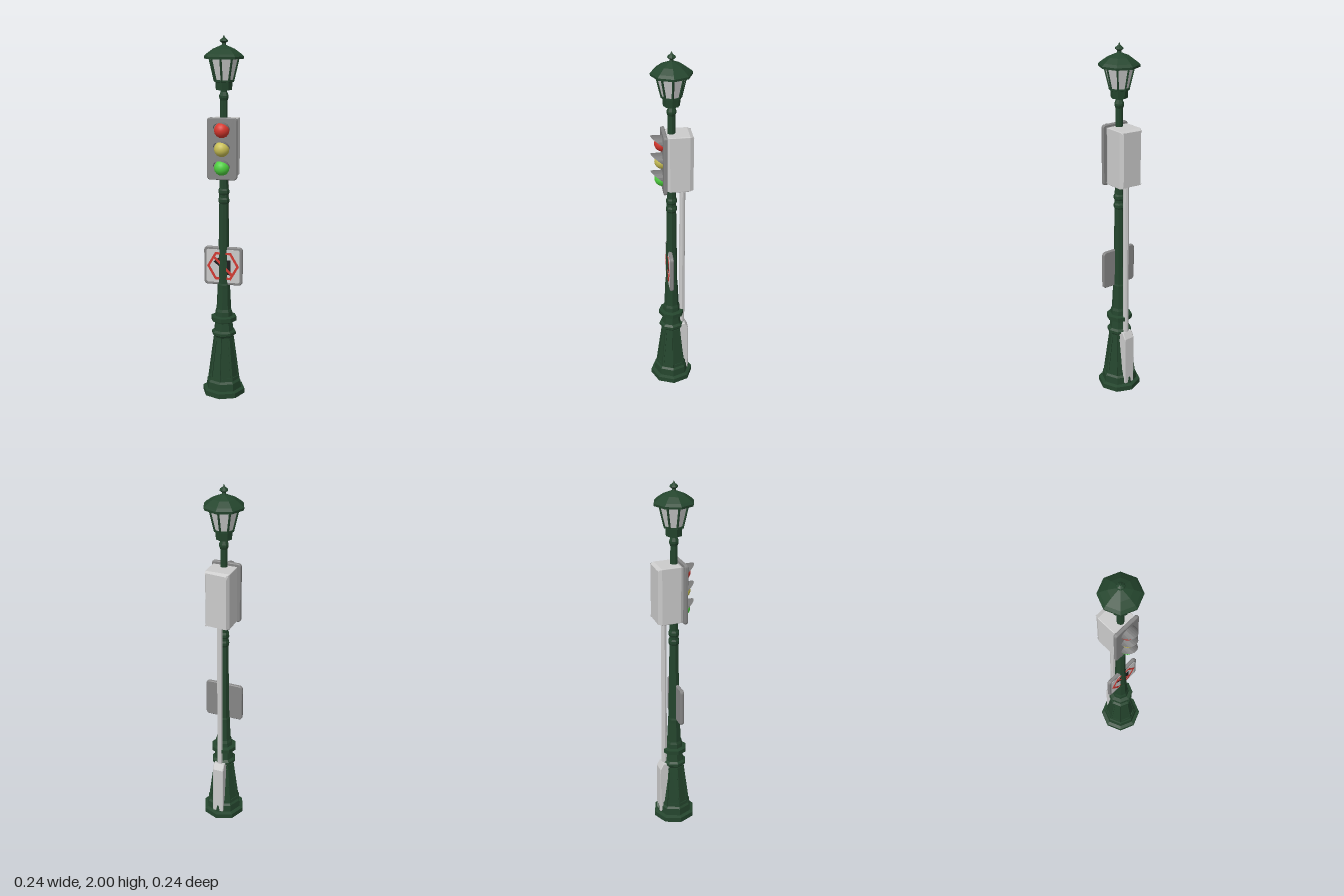
import * as THREE from 'three';

const mat = (color, opts = {}) => new THREE.MeshStandardMaterial({ color, flatShading: true, ...opts });
const green = mat(0x24452d);
const grey = mat(0xcccccc);
const darkGrey = mat(0x868686);
const visorGrey = mat(0x777777, { side: THREE.DoubleSide });
const red = mat(0xd23a32);
const black = mat(0x1c1c1c);

function add(parent, name, geometry, material, x = 0, y = 0, z = 0) {
  const mesh = new THREE.Mesh(geometry, material);
  mesh.name = name;
  mesh.position.set(x, y, z);
  parent.add(mesh);
  return mesh;
}

// Eight-sided turned part from [radius, height] pairs
const turned = (pts) => new THREE.LatheGeometry(pts.map(([r, y]) => new THREE.Vector2(r, y)), 8);

function polygon(pts, Type = THREE.Shape) {
  return new Type(pts.map(([x, y]) => new THREE.Vector2(x, y)));
}

function roundedRect(w, h, r) {
  const s = new THREE.Shape(), a = w / 2, b = h / 2;
  s.absarc(a - r, b - r, r, 0, Math.PI / 2);
  s.absarc(-a + r, b - r, r, Math.PI / 2, Math.PI);
  s.absarc(-a + r, -b + r, r, Math.PI, Math.PI * 1.5);
  s.absarc(a - r, -b + r, r, Math.PI * 1.5, Math.PI * 2);
  s.closePath();
  return s;
}

// Plate spanning z = 0 to depth, with an optional inward bevel
function plate(shape, depth, bevel = 0, bevelDepth = bevel) {
  const g = new THREE.ExtrudeGeometry(shape, {
    depth: depth - 2 * bevelDepth, bevelEnabled: bevel > 0, bevelSize: bevel,
    bevelThickness: bevelDepth, bevelOffset: -bevel, bevelSegments: 1, curveSegments: 3,
  });
  return g.translate(0, 0, bevelDepth);
}

// Straight octagonal rod between two points
function rod(parent, name, a, b, r, material) {
  const dir = b.clone().sub(a);
  const m = add(parent, name, new THREE.CylinderGeometry(r, r, dir.length(), 4), material);
  m.position.copy(a).addScaledVector(dir, 0.5);
  m.quaternion.setFromUnitVectors(new THREE.Vector3(0, 1, 0), dir.normalize());
}

function makePost() {
  const post = new THREE.Group();
  post.name = 'post';
  add(post, 'pedestal', turned([
    [0, 0], [0.12, 0], [0.12, 0.028], [0.1, 0.034], [0.097, 0.075], [0.086, 0.088],
    [0.053, 0.335], [0.058, 0.345], [0.069, 0.352], [0.069, 0.366], [0.056, 0.376],
    [0.05, 0.42], [0.054, 0.428], [0.072, 0.432], [0.072, 0.456], [0.05, 0.46],
    [0.048, 0.485], [0.042, 0.5],
  ]), green);
  add(post, 'shaft', turned([
    [0.042, 0.5], [0.036, 0.62], [0.036, 0.64], [0.033, 0.65], [0.026, 1.1], [0.031, 1.11],
    [0.031, 1.125], [0.026, 1.135], [0.026, 1.15], [0.031, 1.16], [0.03, 1.175], [0.025, 1.185],
    [0.021, 1.3], [0.02, 1.66], [0.026, 1.675], [0.026, 1.685], [0.018, 1.705], [0.018, 1.72],
  ]), green);

  // Raised frames on the eight tapered pedestal faces
  const y0 = 0.088, y1 = 0.335, r0 = 0.086, r1 = 0.053;
  const c = Math.cos(Math.PI / 8), s = Math.sin(Math.PI / 8);
  const length = Math.hypot(y1 - y0, (r0 - r1) * c);
  const b = r0 * s, t = r1 * s;
  const outline = polygon([[-b, 0], [b, 0], [t, length], [-t, length]]);
  outline.holes.push(polygon([[-b + 0.009, 0.018], [-t + 0.007, length - 0.018],
    [t - 0.007, length - 0.018], [b - 0.009, 0.018]], THREE.Path));
  const frame = plate(outline, 0.005)
    .rotateX(-Math.atan2((r0 - r1) * c, y1 - y0)).translate(0, y0, r0 * c);
  for (let i = 0; i < 8; i++) {
    add(post, 'pedestalFrame', frame, green).rotation.y = (i + 0.5) * Math.PI / 4;
  }
  return post;
}

function makeLantern() {
  const lantern = new THREE.Group();
  lantern.name = 'lantern';
  add(lantern, 'lanternSeat', turned([
    [0, 1.715], [0.044, 1.715], [0.047, 1.755], [0.055, 1.758], [0.055, 1.768], [0, 1.768],
  ]), green);
  add(lantern, 'glass', turned([[0.049, 1.765], [0.078, 1.885]]), grey);
  for (let i = 0; i < 8; i++) {
    const a = i * Math.PI / 4;
    const at = (r, y) => new THREE.Vector3(r * Math.sin(a), y, r * Math.cos(a));
    rod(lantern, 'glazingBar', at(0.05, 1.762), at(0.08, 1.888), 0.006, green);
  }
  add(lantern, 'roof', turned([
    [0, 1.885], [0.083, 1.885], [0.088, 1.878], [0.108, 1.878], [0.109, 1.89], [0.095, 1.903],
    [0.06, 1.928], [0.022, 1.944], [0.012, 1.948], [0.01, 1.958], [0.023, 1.968],
    [0.02, 1.975], [0.007, 1.985], [0, 2.0],
  ]), green);
  return lantern;
}

// Half-round hood, deepest at the crown
function visorGeometry(radius, depth) {
  const g = new THREE.CylinderGeometry(radius, radius, 1, 12, 1, true, Math.PI / 2, Math.PI);
  g.rotateX(Math.PI / 2).translate(0, 0, 0.5);
  const p = g.attributes.position;
  for (let i = 0; i < p.count; i++) {
    p.setZ(i, p.getZ(i) * depth * Math.max(0, p.getY(i) / radius));
  }
  return g;
}

function makeSignal() {
  const signal = new THREE.Group();
  signal.name = 'trafficSignal';
  add(signal, 'signalPanel', plate(roundedRect(0.164, 0.334, 0.016), 0.02, 0.004), darkGrey, 0, 1.405, 0.03);
  add(signal, 'signalCabinet', plate(roundedRect(0.136, 0.314, 0.004), 0.145, 0.011, 0.02), grey, 0, 1.405, -0.11);
  const dome = new THREE.SphereGeometry(0.042, 14, 6, 0, Math.PI * 2, 0, Math.PI / 2).rotateX(Math.PI / 2);
  const hood = visorGeometry(0.045, 0.062);
  [[0xd8382e, 1.506], [0xc9bf55, 1.405], [0x4fd040, 1.304]].forEach(([color, y]) => {
    add(signal, 'lamp', dome, mat(color, { flatShading: false }), 0, y, 0.049);
    add(signal, 'visor', hood, visorGrey, 0, y, 0.049);
  });
  return signal;
}

function makeSign() {
  const sign = new THREE.Group();
  sign.name = 'roadSign';
  sign.position.set(0, 0.75, 0);
  add(sign, 'signPlate', plate(roundedRect(0.216, 0.216, 0.02), 0.02, 0.004), darkGrey);
  add(sign, 'signFace', plate(roundedRect(0.188, 0.188, 0.012), 0.002), grey, 0, 0, 0.0195);
  // Prohibition ring and slash over a turn arrow
  const ring = new THREE.Shape().absarc(0, 0, 0.09, 0, Math.PI * 2);
  ring.holes.push(new THREE.Path().absarc(0, 0, 0.075, 0, Math.PI * 2, true));
  add(sign, 'signRing', plate(ring, 0.002), red, 0, 0, 0.022);
  add(sign, 'signSlash', new THREE.BoxGeometry(0.155, 0.014, 0.002), red, 0, 0, 0.0235).rotation.z = -Math.PI / 4;
  const arrow = polygon([[0.018, -0.05], [0.042, -0.05], [0.042, 0.034], [-0.022, 0.034],
    [-0.022, 0.05], [-0.054, 0.024], [-0.022, -0.002], [-0.022, 0.014], [0.018, 0.014]]);
  add(sign, 'signArrow', plate(arrow, 0.0012), black, 0, 0, 0.021);
  return sign;
}

function makeWiring() {
  const wiring = new THREE.Group();
  wiring.name = 'wiring';
  add(wiring, 'conduit', new THREE.CylinderGeometry(0.016, 0.016, 0.92, 8), grey, 0, 0.8, -0.059);
  // Junction box with a sloping top, hugging the pedestal
  const side = polygon([[0.03, 0.04], [0.095, 0.04], [0.095, 0.33], [0.075, 0.365], [0.03, 0.365]]);
  const box = plate(side, 0.064, 0.004).translate(0, 0, -0.032).rotateY(Math.PI / 2);
  add(wiring, 'junctionBox', box, grey);
  return wiring;
}

export function createModel() {
  const model = new THREE.Group();
  model.name = 'streetLampWithSignal';
  model.add(makePost(), makeLantern(), makeSignal(), makeSign(), makeWiring());
  return model;
}
